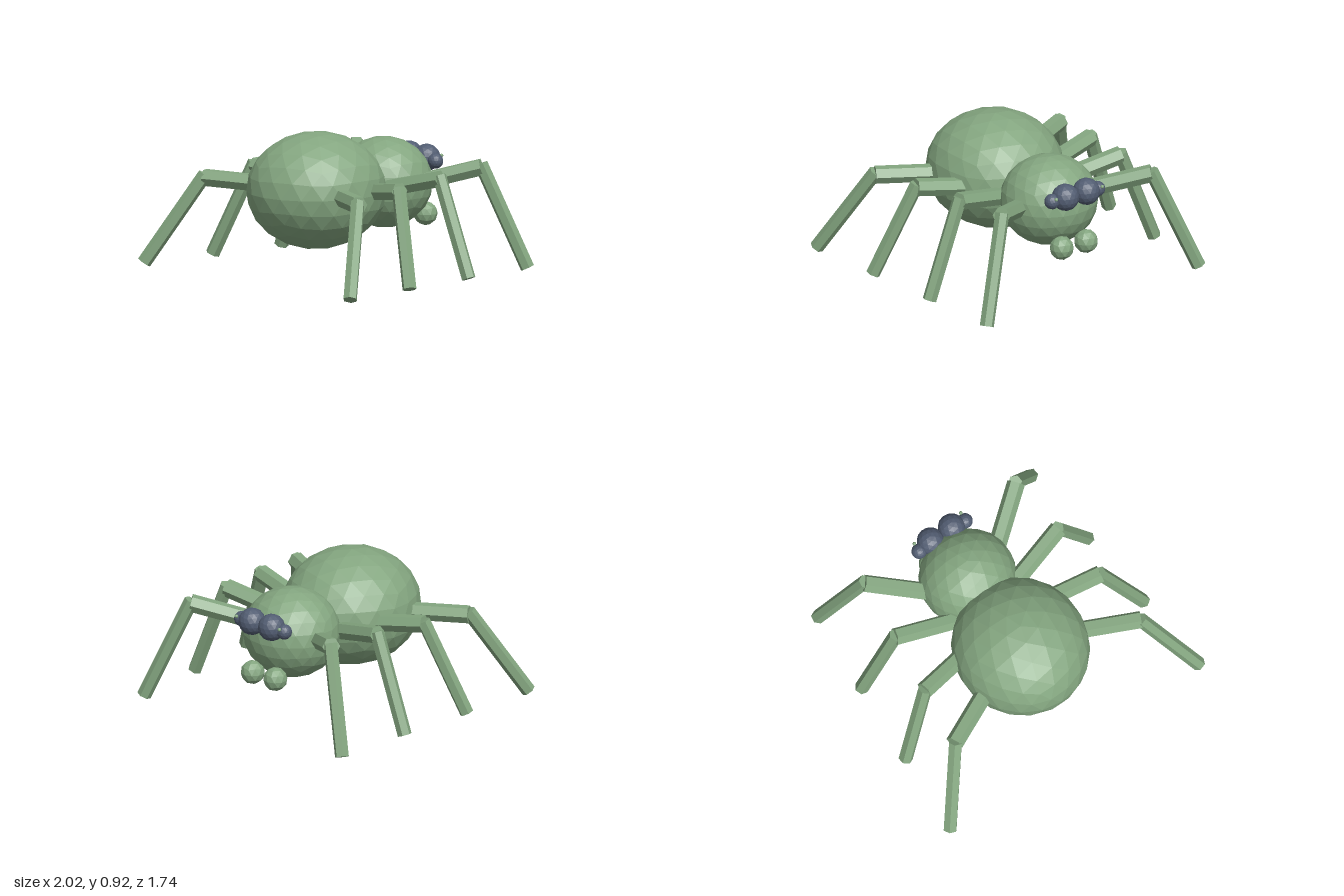
import * as THREE from 'three';

export function createModel() {
  const model = new THREE.Group();
  model.name = 'spider';

  const green = new THREE.MeshStandardMaterial({ color: 0x84a680 });
  green.name = 'mossGreen';
  const slate = new THREE.MeshStandardMaterial({ color: 0x525d72 });
  slate.name = 'slateBlue';
  green.flatShading = slate.flatShading = true;

  // faceted ball with a vertex at its top, stretched to the given radii
  function ball(name, material, detail, [rx, ry, rz], [x, y, z]) {
    const geometry = new THREE.IcosahedronGeometry(1, detail);
    geometry.rotateZ(Math.atan(2 / (1 + Math.sqrt(5))));
    geometry.scale(rx, ry, rz);
    geometry.computeVertexNormals();
    const mesh = new THREE.Mesh(geometry, material);
    mesh.name = name;
    mesh.position.set(x, y, z);
    model.add(mesh);
  }

  // six-sided rod between two points; edgeOut turns an edge to the outside
  function rod(name, a, b, radius, edgeOut) {
    const from = new THREE.Vector3(...a);
    const to = new THREE.Vector3(...b);
    const along = to.clone().sub(from);
    const geometry = new THREE.CylinderGeometry(radius, radius, along.length(), 6);
    along.normalize();
    const level = new THREE.Vector3().crossVectors(along, new THREE.Vector3(0, 1, 0)).normalize();
    const outward = new THREE.Vector3().crossVectors(level, along);
    const zAxis = edgeOut ? outward : level;
    const xAxis = new THREE.Vector3().crossVectors(along, zAxis);
    const mesh = new THREE.Mesh(geometry, green);
    mesh.name = name;
    mesh.quaternion.setFromRotationMatrix(new THREE.Matrix4().makeBasis(xAxis, along, zAxis));
    mesh.position.addVectors(from, to).multiplyScalar(0.5);
    return mesh;
  }

  // body
  ball('abdomen', green, 3, [0.437, 0.375, 0.455], [0, 0.545, 0.235]);
  ball('head', green, 3, [0.317, 0.292, 0.305], [0, 0.532, -0.35]);

  // hip, knee and foot of each leg, from the head end backwards
  const legs = [
    [[0.25, 0.55, -0.39], [0.59, 0.665, -0.65], [0.83, 0.025, -0.825]],
    [[0.22, 0.535, -0.145], [0.635, 0.64, -0.25], [0.88, 0.025, -0.272]],
    [[0.34, 0.555, 0.075], [0.685, 0.61, 0.145], [0.925, 0.025, 0.28]],
    [[0.34, 0.555, 0.35], [0.725, 0.57, 0.535], [0.968, 0.025, 0.832]],
  ];

  for (const side of [1, -1]) {
    const label = side > 0 ? 'left' : 'right';
    const mirror = ([x, y, z]) => [side * x, y, z];

    // eyes and mouth feelers
    ball(label + 'MainEye', slate, 2, [0.088, 0.088, 0.088], mirror([0.082, 0.665, -0.642]));
    ball(label + 'SideEye', slate, 2, [0.05, 0.05, 0.05], mirror([0.178, 0.655, -0.63]));
    ball(label + 'EyeBead', green, 1, [0.012, 0.012, 0.012], mirror([0.18, 0.685, -0.68]));
    ball(label + 'Feeler', green, 1, [0.078, 0.078, 0.078], mirror([0.095, 0.31, -0.62]));

    // legs
    legs.forEach(([hip, knee, foot], i) => {
      const leg = new THREE.Group();
      leg.name = label + 'Leg' + (i + 1);
      leg.add(rod('upperLeg', mirror(hip), mirror(knee), 0.058, false));
      // the shin starts slightly above and outside the knee
      const top = [knee[0] - 0.008, knee[1] + 0.02, knee[2]];
      leg.add(rod('lowerLeg', mirror(top), mirror(foot), 0.046, true));
      model.add(leg);
    });
  }
  return model;
}
